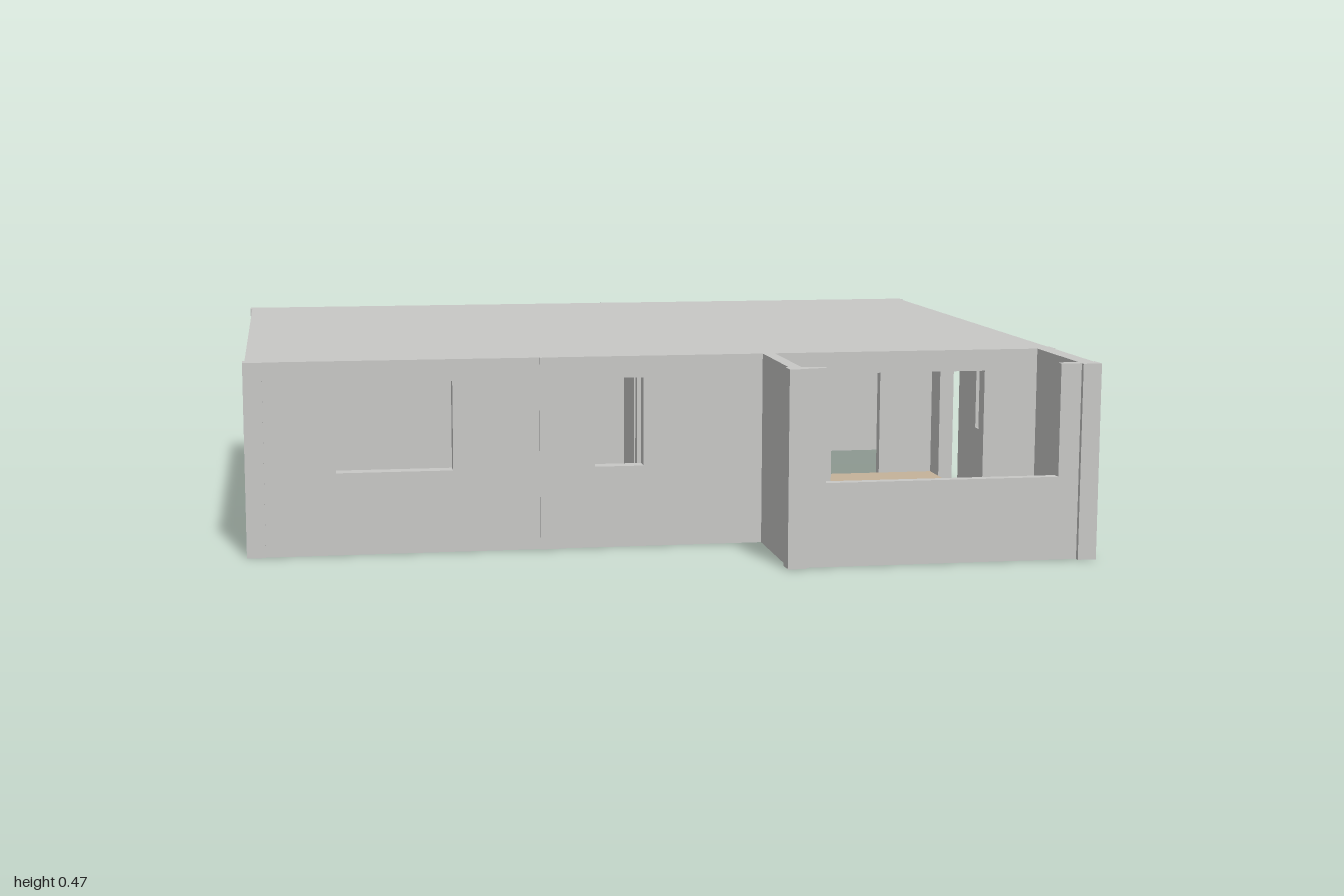
import * as THREE from 'three';

const H = 0.47, ROOF = 0.004, WALL_H = H - ROOF;
const SILL = 0.2, HEAD = 0.417;

export function createModel() {
  const group = new THREE.Group();
  const plaster = new THREE.MeshStandardMaterial({ color: 0xc8c8c6 });
  plaster.name = 'grey plaster';
  const timber = new THREE.MeshStandardMaterial({ color: 0xc4b299 });
  timber.name = 'tan floor';

  const add = (name, geometry, material) => {
    const mesh = new THREE.Mesh(geometry, material);
    mesh.name = name;
    group.add(mesh);
    return mesh;
  };

  // box given by its plan rectangle and its height range
  const slab = (name, x0, x1, z0, z1, y0, y1, material = plaster) =>
    add(name, new THREE.BoxGeometry(x1 - x0, y1 - y0, z1 - z0), material)
      .position.set((x0 + x1) / 2, (y0 + y1) / 2, (z0 + z1) / 2);

  const win = (a, b) => [a, b, SILL, HEAD];
  const door = (a, b) => [a, b, 0, HEAD];

  // wall from a to b along x or z, from 'at' across its thickness, with openings in order
  // openings touching the floor or the top become notches, the others holes
  const wall = (name, axis, a, b, at, thick, openings = [], h = WALL_H) => {
    const shape = new THREE.Shape();
    shape.moveTo(a, 0);
    for (const [p, q, y0, y1] of openings) if (y0 === 0) {
      shape.lineTo(p, 0); shape.lineTo(p, y1); shape.lineTo(q, y1); shape.lineTo(q, 0);
    }
    shape.lineTo(b, 0);
    shape.lineTo(b, h);
    for (const [p, q, y0, y1] of [...openings].reverse()) if (y1 >= h) {
      shape.lineTo(q, h); shape.lineTo(q, y0); shape.lineTo(p, y0); shape.lineTo(p, h);
    }
    shape.lineTo(a, h);
    shape.closePath();
    for (const [p, q, y0, y1] of openings) if (y0 > 0 && y1 < h) {
      const hole = new THREE.Path();
      hole.moveTo(p, y0); hole.lineTo(p, y1); hole.lineTo(q, y1); hole.lineTo(q, y0);
      hole.closePath();
      shape.holes.push(hole);
    }
    const geometry = new THREE.ExtrudeGeometry(shape, { depth: thick, bevelEnabled: false });
    if (axis === 'z') geometry.rotateY(-Math.PI / 2).translate(at + thick, 0, 0);
    else geometry.translate(0, 0, at);
    add(name, geometry, plaster);
  };

  // outer walls
  wall('backWall', 'x', -0.995, 0.995, -0.86, 0.04,
    [win(-0.765, -0.49), win(-0.155, -0.04), win(0.2, 0.36), win(0.505, 0.74)]);
  wall('frontWall', 'x', -0.995, 0.995, 0.5, 0.04,
    [win(-0.785, -0.505), win(-0.16, -0.04), door(0.43, 0.82)]);
  wall('rightWall', 'z', -0.82, 0.5, -0.995, 0.04);
  wall('leftWall', 'z', -0.82, 0.5, 0.955, 0.04, [door(-0.27, -0.09), win(0.06, 0.375)]);

  // inner partitions
  const T = 0.03;
  wall('partitionEast', 'z', -0.82, 0.5, 0.06, T, [door(-0.235, -0.135)]);
  wall('partitionWest', 'z', -0.82, 0.5, -0.29, T, [door(-0.33, -0.23), door(0.22, 0.33)]);
  wall('kitchenSideWall', 'z', -0.82, -0.38, 0.41, T);
  wall('kitchenFrontWall', 'x', 0.09, 0.955, -0.38, T, [door(0.2, 0.31), door(0.64, 0.8)]);
  wall('hallBackWall', 'x', -0.26, 0.06, -0.45, T, [door(-0.12, -0.02)]);
  wall('hallFrontWall', 'x', -0.26, 0.06, -0.09, T, [door(-0.06, 0.04)]);
  wall('bedroomDivider', 'x', -0.955, -0.29, -0.18, T);

  // room floors, lying between the walls
  const rooms = [
    [-0.955, -0.29, -0.82, -0.18], [-0.955, -0.29, -0.15, 0.5],
    [-0.26, 0.06, -0.82, -0.45], [-0.26, 0.06, -0.42, -0.09], [-0.26, 0.06, -0.06, 0.5],
    [0.09, 0.41, -0.82, -0.38], [0.09, 0.955, -0.35, 0.5],
  ];
  for (const r of rooms) slab('roomFloor', ...r, 0, 0.01, timber);

  // flat roof
  slab('roof', -0.995, 0.995, -0.86, 0.54, WALL_H, H);

  // open-topped porch
  slab('porchFloor', 0.285, 0.955, 0.54, 0.825, 0, 0.01);
  wall('porchRightWall', 'z', 0.54, 0.85, 0.255, 0.03, [], H);
  wall('porchLeftWall', 'z', 0.54, 0.85, 0.955, 0.04, [], H);
  wall('porchFrontWall', 'x', 0.285, 0.955, 0.825, 0.025, [[0.34, 0.905, SILL, H]], H);

  // columns standing slightly proud of the walls
  const C = 0.045;
  const columns = [
    [-1, -0.865], [0.055, -0.865], [1 - C, -0.865],
    [-1, 0.545 - C], [-0.295, 0.545 - C], [1 - C, 0.545 - C],
    [0.248, 0.862 - C], [1 - C, 0.862 - C],
  ];
  for (const [x, z] of columns) slab('column', x, x + C, z, z + C, 0, H);

  return group;
}
